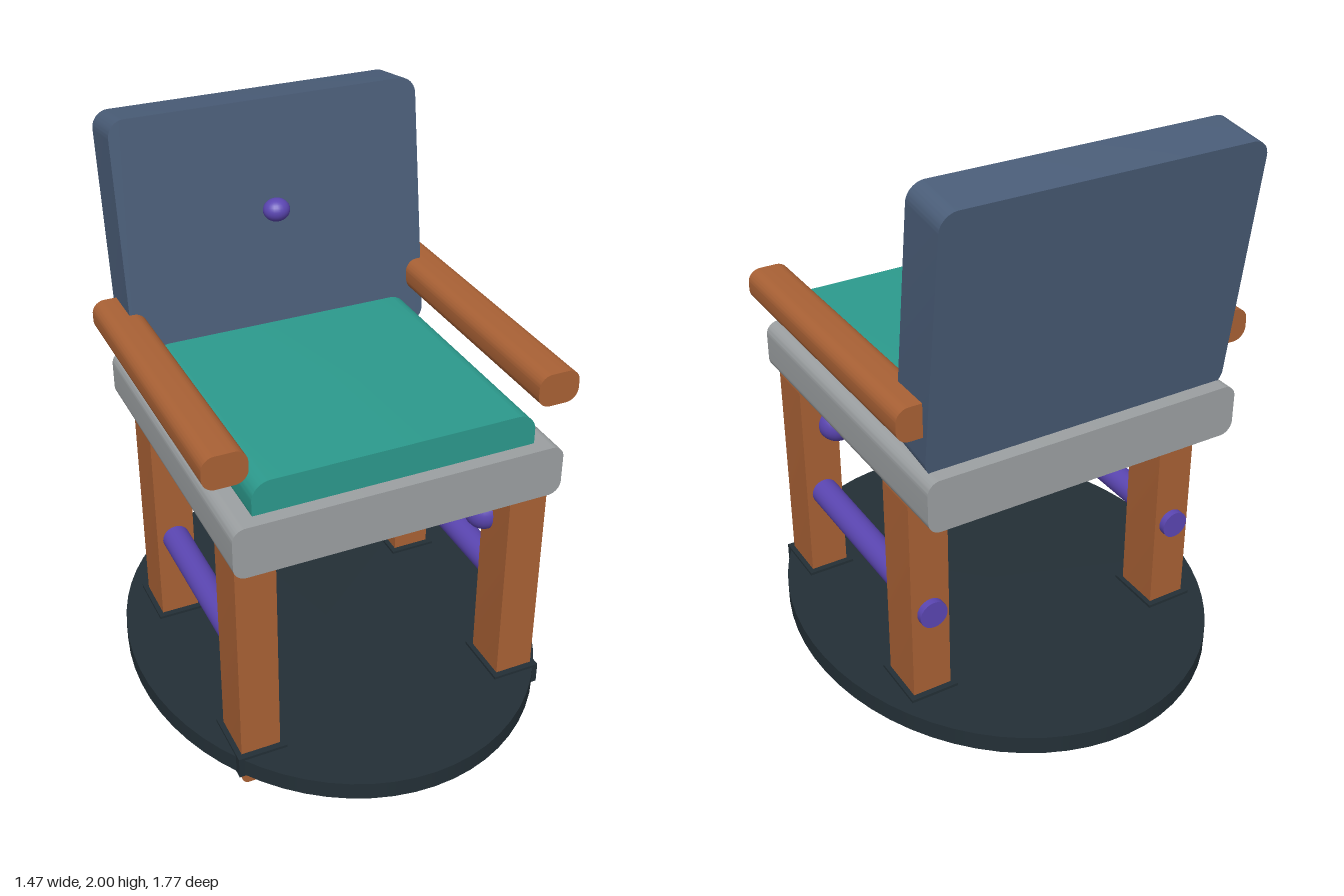
import * as THREE from 'three';
import { toCreasedNormals } from 'three/addons/utils/BufferGeometryUtils.js';

const mat = (name, color) => new THREE.MeshStandardMaterial({ name, color });

// Rounded rectangle in x/y, extruded along z and centred on the origin
function roundedSlab(w, h, d, r) {
  const x = w / 2, y = h / 2;
  const s = new THREE.Shape();
  s.moveTo(-x + r, -y);
  s.lineTo(x - r, -y);
  s.absarc(x - r, -y + r, r, -Math.PI / 2, 0);
  s.lineTo(x, y - r);
  s.absarc(x - r, y - r, r, 0, Math.PI / 2);
  s.lineTo(-x + r, y);
  s.absarc(-x + r, y - r, r, Math.PI / 2, Math.PI);
  s.lineTo(-x, -y + r);
  s.absarc(-x + r, -y + r, r, Math.PI, Math.PI * 1.5);
  const g = new THREE.ExtrudeGeometry(s, { depth: d, bevelEnabled: false, curveSegments: 8 });
  g.translate(0, 0, -d / 2);
  return toCreasedNormals(g, 0.6);
}

export function createModel() {
  const model = new THREE.Group();
  model.name = 'armchair';
  const wood = mat('wood', 0xa96135);
  const navy = mat('navy fabric', 0x4a5d78);
  const teal = mat('teal fabric', 0x2c9a8d);
  const grey = mat('grey frame', 0x9ca0a2);
  const purple = mat('purple', 0x5b46b2);
  const dark = mat('dark base', 0x232f36);

  const add = (name, geometry, material, x, y, z) => {
    const m = new THREE.Mesh(geometry, material);
    m.name = name;
    m.position.set(x, y, z);
    model.add(m);
    return m;
  };

  // Oval base
  add('base', new THREE.CylinderGeometry(1, 1, 0.066, 64), dark, 0, 0.095, 0).scale.set(0.737, 1, 0.885);

  // Seat frame and cushion
  add('seatFrame', roundedSlab(1.16, 0.185, 1.2, 0.045), grey, 0, 1.003, 0);
  add('seatCushion', roundedSlab(0.99, 0.17, 1.0, 0.065), teal, 0, 1.127, 0.05);

  // Reclined backrest with a button
  const back = new THREE.Group();
  back.name = 'backrest';
  back.position.set(0, 1.537, -0.515);
  back.rotation.x = -0.138;
  const panel = new THREE.Mesh(roundedSlab(1.12, 0.912, 0.187, 0.06), navy);
  panel.name = 'backPanel';
  const button = new THREE.Mesh(new THREE.SphereGeometry(1, 24, 16), purple);
  button.name = 'backButton';
  button.scale.set(0.048, 0.041, 0.045);
  button.position.set(0, 0.072, 0.11);
  back.add(panel, button);
  model.add(back);

  // Armrests, stretchers, legs and their sleeves on both sides
  const arm = roundedSlab(0.15, 0.117, 1.093, 0.045);
  const stretcher = new THREE.CylinderGeometry(0.05, 0.05, 0.89, 24);
  stretcher.rotateX(Math.PI / 2);
  const leg = roundedSlab(0.14, 0.93, 0.172, 0.025);
  const sleeve = new THREE.BoxGeometry(0.176, 0.08, 0.215);
  for (const side of [1, -1]) {
    add('armrest', arm, wood, side * 0.574, 1.282, 0.002);
    add('stretcher', stretcher, purple, side * 0.49, 0.47, -0.01);
    for (const z of [0.468, -0.344]) {
      add('leg', leg, wood, side * 0.491, 0.465, z);
      add('legSleeve', sleeve, dark, side * 0.491, 0.098, z);
    }
  }

  // Knob on the left front leg
  add('legKnob', new THREE.SphereGeometry(0.072, 24, 16), purple, 0.425, 0.75, 0.385);

  return model;
}
